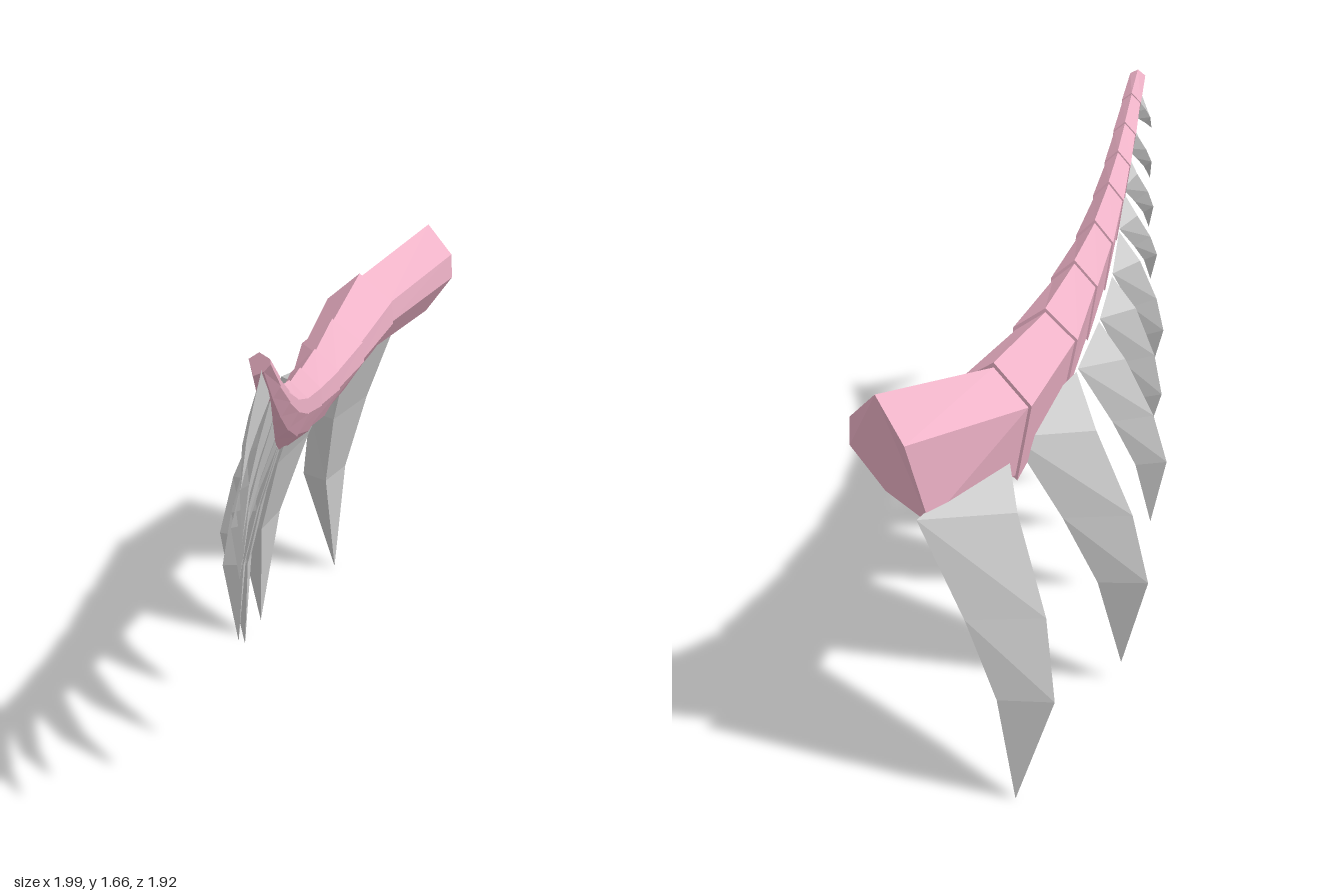
import * as THREE from 'three';

const V = (x, y, z) => new THREE.Vector3(x, y, z);

// Skin a list of equal-sized rings (counter-clockwise about the reversed path) and cap both ends.
function loft(rings, material, name) {
  const pos = [];
  const tri = (a, b, c) => {
    const area = b.clone().sub(a).cross(c.clone().sub(a)).length();
    if (area > 1e-8) pos.push(...a.toArray(), ...b.toArray(), ...c.toArray());
  };
  const n = rings[0].length;
  for (let i = 0; i < rings.length - 1; i++) {
    const r = rings[i], s = rings[i + 1];
    for (let j = 0; j < n; j++) {
      const k = (j + 1) % n;
      tri(r[j], s[k], r[k]);
      tri(r[j], s[j], s[k]);
    }
  }
  const last = rings[rings.length - 1];
  for (let j = 1; j < n - 1; j++) {
    tri(rings[0][0], rings[0][j], rings[0][j + 1]);
    tri(last[0], last[j + 1], last[j]);
  }
  const geo = new THREE.BufferGeometry();
  geo.setAttribute('position', new THREE.Float32BufferAttribute(pos, 3));
  geo.computeVertexNormals();
  const mesh = new THREE.Mesh(geo, material);
  mesh.name = name;
  return mesh;
}

// Gum stations: x, top y, z, half width, height
const STATIONS = [
  [0.95, 1.41, -0.715, 0.105, 0.41], [0.50, 1.32, -0.55, 0.12, 0.35],
  [0.15, 1.295, -0.235, 0.10, 0.30], [-0.11, 1.31, 0.03, 0.075, 0.27],
  [-0.31, 1.345, 0.235, 0.062, 0.245], [-0.48, 1.395, 0.425, 0.052, 0.21],
  [-0.60, 1.45, 0.56, 0.045, 0.17], [-0.69, 1.515, 0.66, 0.04, 0.14],
  [-0.77, 1.59, 0.745, 0.034, 0.11], [-0.83, 1.66, 0.80, 0.03, 0.07],
];
// Gum section: outward fraction of half width, downward fraction of height
const SECTION = [[0, 0], [1, 0.25], [1.05, 0.47], [0.4, 0.8], [-0.6, 1], [-1, 0.3]];

// Tooth roots along the gum, and the tip of each tooth
const ROOTS = [
  [0.88, 1.04, -0.80], [0.46, 1.06, -0.55], [0.05, 1.07, -0.26], [-0.19, 1.09, 0.0],
  [-0.38, 1.13, 0.23], [-0.53, 1.20, 0.43], [-0.63, 1.29, 0.57], [-0.71, 1.40, 0.68],
  [-0.77, 1.50, 0.76], [-0.82, 1.62, 0.80],
].map((p) => V(...p));
const TIPS = [
  [0.61, 0.0, -0.86], [0.01, 0.08, -0.50], [-0.32, 0.35, -0.15], [-0.51, 0.44, 0.20],
  [-0.68, 0.60, 0.43], [-0.78, 0.90, 0.60], [-0.87, 1.04, 0.76], [-0.96, 1.18, 0.90],
  [-1.0, 1.36, 0.96],
].map((p) => V(...p));

function gumRing(i, grow) {
  const [x, top, z, w, h] = STATIONS[i];
  const a = STATIONS[Math.max(i - 1, 0)], b = STATIONS[Math.min(i + 1, STATIONS.length - 1)];
  const out = V(b[2] - a[2], 0, a[0] - b[0]).normalize();
  return SECTION.map(([n, d]) => {
    const p = V(x, top - h / 2 + (0.5 - d) * h * grow, z).addScaledVector(out, n * w * grow);
    // the open end of the jaw leans back towards its base
    if (i === 0) p.x += d === 1 ? -0.1 : d > 0.6 ? -0.05 : 0;
    return p;
  });
}

// Three-sided fang: flat outer face, raised inner ridge, bowed towards the inside
function fang(left, right, tip, material, name) {
  const chord = right.clone().sub(left);
  const size = Math.hypot(chord.x, chord.z);
  const inward = V(chord.z, 0, -chord.x).normalize().multiplyScalar(size);
  const ridge = left.clone().lerp(right, 0.5).addScaledVector(inward, 0.37);
  ridge.y -= 0.12 * size;
  const rings = [[0, 0], [0.32, 0.75], [0.6, 1], [1, 0]].map(([t, bow]) => [
    left.clone().lerp(tip, t).addScaledVector(inward, 0.13 * bow),
    right.clone().lerp(tip, t).addScaledVector(inward, 0.13 * bow),
    ridge.clone().lerp(tip, t).addScaledVector(inward, 0.27 * bow),
  ]);
  return loft(rings, material, name);
}

export function createModel() {
  const model = new THREE.Group();
  model.name = 'jawWithTeeth';
  const pink = new THREE.MeshStandardMaterial({ color: 0xefb3c8, flatShading: true });
  const grey = new THREE.MeshStandardMaterial({ color: 0xcccccc, flatShading: true });

  // Overlapping gum segments, each with its own tooth
  for (let i = 0; i < TIPS.length; i++) {
    const start = gumRing(i, i === 0 ? 1 : 1.06);
    model.add(loft([start, gumRing(i + 1, 0.97)], pink, `gumSegment${i + 1}`));
    const right = ROOTS[i].clone().lerp(ROOTS[i + 1], i === 0 ? 0 : 0.06);
    model.add(fang(ROOTS[i + 1], right, TIPS[i], grey, `tooth${i + 1}`));
  }
  return model;
}
